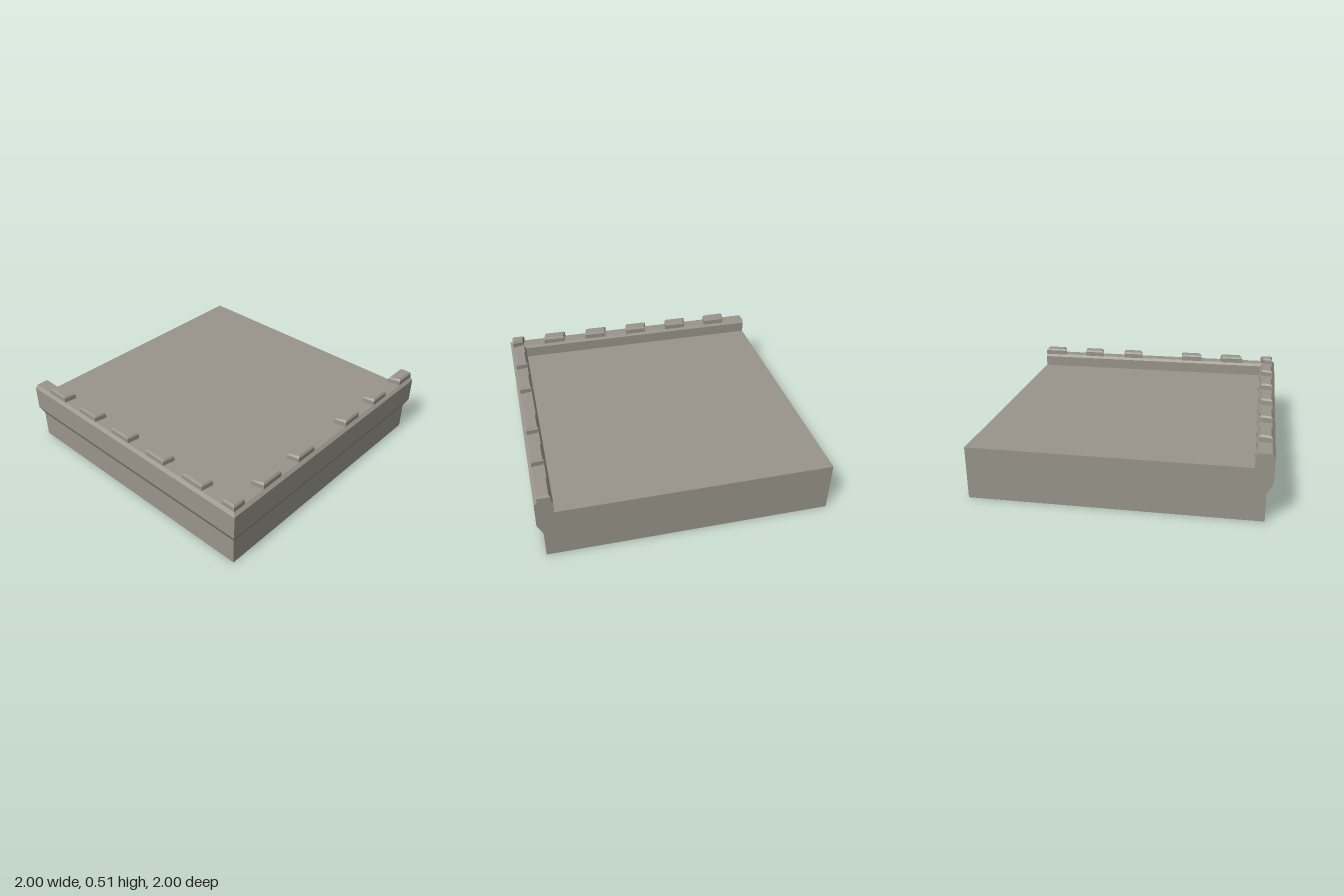
import * as THREE from 'three';

// Non-indexed flat-shaded geometry from quads of four [x, y, z] corners
function quadGeometry(quads) {
  const positions = [];
  for (const [a, b, c, d] of quads) positions.push(...a, ...b, ...c, ...a, ...c, ...d);
  const geometry = new THREE.BufferGeometry();
  geometry.setAttribute('position', new THREE.Float32BufferAttribute(positions, 3));
  geometry.computeVertexNormals();
  return geometry;
}

// Bevelled block on a four-cornered plan [x, z]: front left, front right, back right, back left
function blockGeometry(plan) {
  const cx = plan.reduce((s, p) => s + p[0], 0) / 4;
  const cz = plan.reduce((s, p) => s + p[1], 0) / 4;
  const ring = (y, inset) => plan.map(([x, z]) => [
    x - Math.sign(x - cx) * inset, y, z - Math.sign(z - cz) * inset]);
  const rings = [ring(0.46, 0), ring(0.497, 0), ring(0.51, 0.01)];
  const quads = [rings[2]];
  for (let r = 0; r < 2; r++) {
    for (let i = 0; i < 4; i++) {
      const j = (i + 1) % 4;
      quads.push([rings[r][i], rings[r][j], rings[r + 1][j], rings[r + 1][i]]);
    }
  }
  return quadGeometry(quads);
}

export function createModel() {
  const group = new THREE.Group();
  const stone = new THREE.MeshStandardMaterial({ color: 0x9a968c });
  stone.name = 'stone';
  const add = (name, geometry) => {
    const mesh = new THREE.Mesh(geometry, stone);
    mesh.name = name;
    group.add(mesh);
    return mesh;
  };

  // Wall and parapet profile: [distance in from the outer edge, height]
  const floorY = 0.365;
  const profile = [
    [0.04, 0], [0.04, 0.195], [0, 0.27], [0, 0.445],
    [0.02, 0.465], [0.105, 0.465], [0.12, 0.445], [0.12, floorY],
  ];

  // Two walls meeting in a mitre at the front corner
  const front = [];
  const side = [];
  for (let i = 0; i < profile.length - 1; i++) {
    const [[d0, y0], [d1, y1]] = [profile[i], profile[i + 1]];
    const c0 = [-1 + d0, y0, 1 - d0];
    const c1 = [-1 + d1, y1, 1 - d1];
    front.push([c0, [1, y0, 1 - d0], [1, y1, 1 - d1], c1]);
    side.push([[-1 + d0, y0, -1], c0, c1, [-1 + d1, y1, -1]]);
  }
  add('frontWall', quadGeometry(front));
  add('sideWall', quadGeometry(side));

  // Cut faces on the right and back
  const section = [...profile, [2, floorY], [2, 0]];
  const cut = (mirror) => new THREE.ShapeGeometry(
    new THREE.Shape(section.map(([d, y]) => new THREE.Vector2(d * mirror, y))));
  add('rightCutFace', cut(1).rotateY(Math.PI / 2).translate(1, 0, 1));
  add('backCutFace', cut(-1).rotateY(Math.PI).translate(-1, 0, -1));

  // Roof floor and underside
  add('roofFloor', new THREE.PlaneGeometry(1.88, 1.88).rotateX(-Math.PI / 2).translate(0.06, floorY, -0.06));
  add('underside', new THREE.PlaneGeometry(1.96, 1.96).rotateX(Math.PI / 2).translate(0.02, 0, -0.02));

  // Slightly skewed blocks along the parapet
  const outer = 0.98;
  const inner = 0.893;
  add('cornerBlock', blockGeometry([[-outer, outer], [-0.883, outer], [-0.903, inner + 0.007], [-outer, 0.883]]));

  const frontSpans = [[-0.71, -0.54], [-0.365, -0.2], [0.155, 0.31], [0.5, 0.655], [0.845, 1]];
  for (const [x0, x1] of frontSpans) {
    const backRight = x1 === 1 ? 1 : x1 - 0.012;
    add('frontBlock', blockGeometry([[x0, outer], [x1, outer], [backRight, inner], [x0 - 0.02, inner]]));
  }

  for (let i = 0; i < 5; i++) {
    const z0 = -0.83 + i * 0.343;
    const z1 = z0 + 0.168;
    add('sideBlock', blockGeometry([[-outer, z1], [-inner, z1 + 0.015], [-inner, z0 + 0.015], [-outer, z0]]));
  }

  return group;
}
